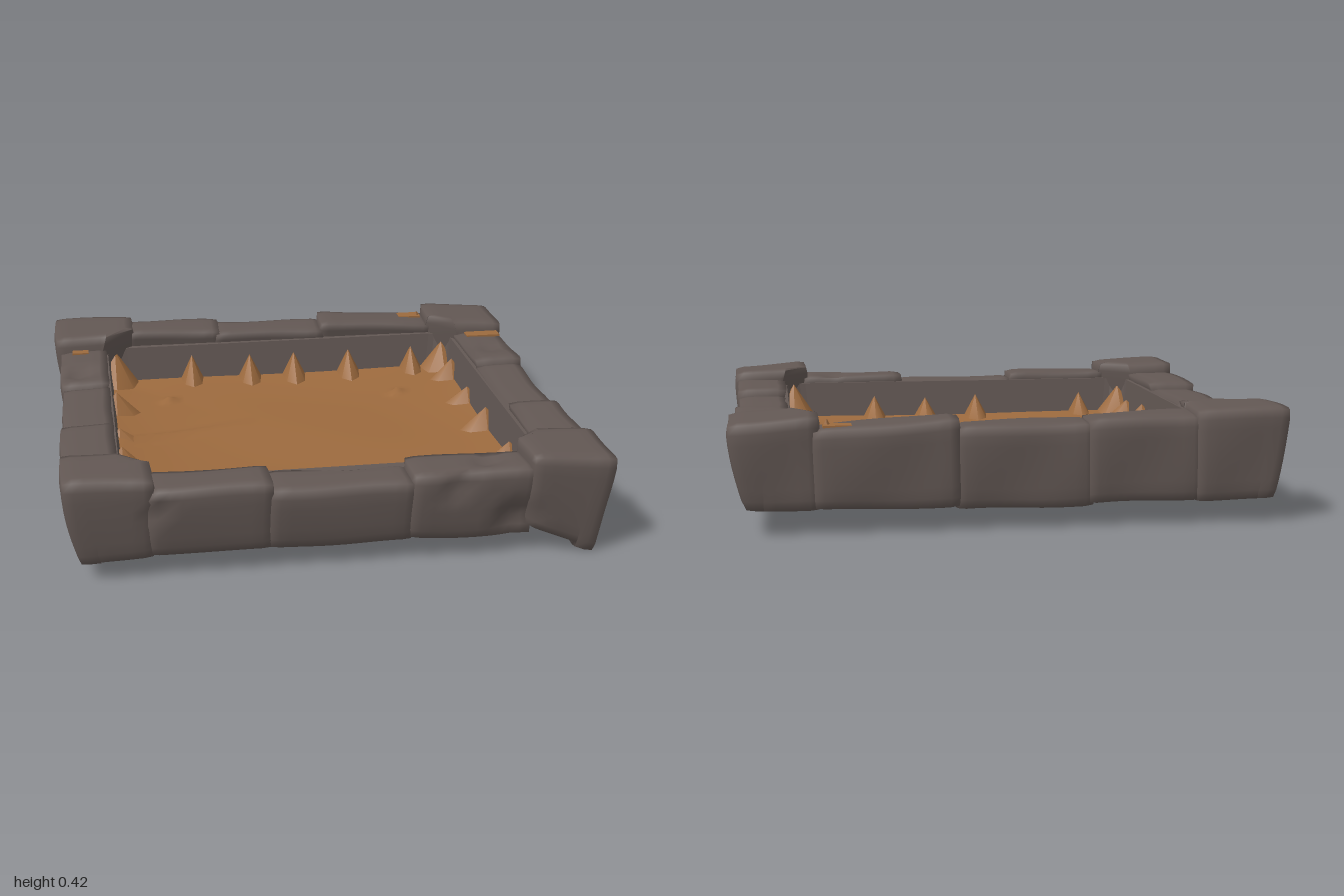
import * as THREE from 'three';
import { mergeVertices } from 'three/addons/utils/BufferGeometryUtils.js';

const INNER_X = 0.775, INNER_Z = 0.725;

// Dents knocked into the stones: x, y, z, radius, depth
const DENTS = [
  [0.64, 0.15, 0.9, 0.1, 0.045], [0.42, 0.3, 0.92, 0.07, 0.03], [-0.65, 0.27, 0.9, 0.05, 0.03],
  [-0.9, 0.36, -0.36, 0.09, 0.04], [0.55, 0.36, 0.8, 0.07, 0.03], [0.9, 0.36, -0.4, 0.08, 0.02],
];

// Worn stone: x0, x1, z0, z1, then top and bottom heights at both ends of its long axis
function stoneGeometry(x0, x1, z0, z1, t0, t1, b0, b1, alongZ) {
  const size = new THREE.Vector3(x1 - x0, (t0 + t1 - b0 - b1) / 2, z1 - z0);
  const n = (s) => Math.max(5, Math.round(s / 0.04));
  let geo = new THREE.BoxGeometry(size.x, size.y, size.z, n(size.x), n(size.y), n(size.z));
  geo.deleteAttribute('normal');
  geo.deleteAttribute('uv');
  geo = mergeVertices(geo);
  const pos = geo.attributes.position, r = 0.022;
  const lim = size.clone().multiplyScalar(0.5).subScalar(r);
  const low = lim.clone().negate();
  const p = new THREE.Vector3(), core = new THREE.Vector3(), c = new THREE.Vector3();
  for (let i = 0; i < pos.count; i++) {
    p.fromBufferAttribute(pos, i);
    core.copy(p).clamp(low, lim);
    const off = p.clone().sub(core);
    if (off.lengthSq() > 0) p.copy(core).addScaledVector(off.normalize(), r);
    // sloping top and bottom
    const u = p.x / size.x + 0.5, w = p.z / size.z + 0.5, k = p.y / size.y + 0.5;
    const a = alongZ ? w : u, v = 1 - k;
    p.set(x0 + u * size.x, (b0 + (b1 - b0) * a) * v + (t0 + (t1 - t0) * a) * k, z0 + w * size.z);
    // outer faces draw in towards the ground
    const draw = Math.pow(v, 1.5);
    if (Math.abs(p.x) > 0.9) p.x *= 1 - 0.055 * draw;
    if (Math.abs(p.z) > 0.83) p.z *= 1 - (p.z > 0 ? 0.05 : 0.025) * draw;
    // gentle unevenness
    p.x += 0.003 * Math.sin(p.z * 17 + p.y * 13);
    p.z += 0.003 * Math.sin(p.x * 15 + p.y * 11);
    p.y += 0.003 * Math.sin(p.x * 12 + p.z * 14);
    for (const [dx, dy, dz, dr, depth] of DENTS) {
      const d = p.distanceTo(c.set(dx, dy, dz));
      if (d < dr) {
        const m = depth * (1 - d / dr);
        if (Math.abs(dz) > 0.86) p.z -= Math.sign(dz) * m;
        else p.y -= m;
      }
    }
    // keep the inside of the frame clear, undercut towards the ground
    const fx = Math.abs(p.x) / INNER_X, fz = Math.abs(p.z) / INNER_Z, need = 1 + 0.12 * v;
    if (Math.max(fx, fz) < need) {
      if (fx > fz) p.x = Math.sign(p.x) * INNER_X * need;
      else p.z = Math.sign(p.z) * INNER_Z * need;
    }
    pos.setXYZ(i, p.x, Math.max(0, p.y), p.z);
  }
  geo.computeVertexNormals();
  return geo;
}

function roundedRect(target, hx, hz, r) {
  target.moveTo(-hx + r, -hz);
  target.lineTo(hx - r, -hz).quadraticCurveTo(hx, -hz, hx, -hz + r);
  target.lineTo(hx, hz - r).quadraticCurveTo(hx, hz, hx - r, hz);
  target.lineTo(-hx + r, hz).quadraticCurveTo(-hx, hz, -hx, hz - r);
  target.lineTo(-hx, -hz + r).quadraticCurveTo(-hx, -hz, -hx + r, -hz);
  return target;
}

// Hollow rounded rectangle between two heights, leaning outwards at the top
function liningGeometry(hx, hz, thick, y0, y1) {
  const shape = roundedRect(new THREE.Shape(), hx, hz, 0.09);
  shape.holes.push(roundedRect(new THREE.Path(), hx - thick, hz - thick, 0.08));
  const geo = new THREE.ExtrudeGeometry(shape, { depth: y1 - y0, bevelEnabled: false, curveSegments: 6 });
  geo.rotateX(-Math.PI / 2).translate(0, y0, 0);
  const pos = geo.attributes.position;
  for (let i = 0; i < pos.count; i++) {
    const s = 1 + 0.035 * (pos.getY(i) - y0) / (y1 - y0);
    pos.setXYZ(i, pos.getX(i) * s, pos.getY(i), pos.getZ(i) * s);
  }
  geo.computeVertexNormals();
  return geo;
}

// Pointed folds of sand against the walls: x, z, height above the bed
const PEAKS = [
  [-0.75, -0.33, 0.09], [-0.75, 0.27, 0.09], [-0.75, -0.02, 0.05], [-0.75, 0.55, 0.07],
  [-0.4, -0.7, 0.11], [-0.14, -0.7, 0.1], [0.06, -0.7, 0.1], [0.31, -0.7, 0.1], [0.6, -0.7, 0.1],
  [0.75, -0.53, 0.09], [0.75, 0.05, 0.08], [0.75, -0.25, 0.06], [0.75, 0.4, 0.07],
  [0.38, 0.7, 0.09], [0.15, 0.7, 0.08], [-0.08, 0.7, 0.09], [-0.56, 0.7, 0.09],
  [-0.74, -0.69, 0.15], [0.74, 0.69, 0.15], [0.74, -0.69, 0.12], [-0.74, 0.69, 0.12],
];
const PEBBLES = [[-0.52, -0.46], [0.48, -0.43], [0.48, 0.47], [-0.52, 0.48], [0.12, 0.64]];

function sandHeight(x, z) {
  const edge = Math.max(Math.abs(x) / 0.75, Math.abs(z) / 0.7);
  const y = 0.155 + 0.025 * Math.min(1.2, Math.pow(edge, 4)) + 0.006 * Math.sin(x * 5 + 1) * Math.cos(z * 6);
  let rise = 0;
  for (const [px, pz] of PEBBLES) {
    rise = Math.max(rise, 0.03 * (1 - Math.hypot(x - px, z - pz) / 0.04));
  }
  // long fold running in from one wall
  const t = THREE.MathUtils.clamp((x + 0.74) / 0.56, 0, 1);
  const fold = Math.abs(z - (-0.01 - 0.19 * t));
  if (x < -0.18) rise = Math.max(rise, 0.03 * (1 - t) * (1 - fold / 0.05));
  return y + rise;
}

export function createModel() {
  const model = new THREE.Group();
  const stone = new THREE.MeshStandardMaterial({ color: 0x635854 });
  stone.name = 'stone';
  const sand = new THREE.MeshStandardMaterial({ color: 0x9c6a3e, side: THREE.DoubleSide });
  sand.name = 'sand';
  const add = (name, geo, mat) => {
    const mesh = new THREE.Mesh(geo, mat);
    mesh.name = name;
    model.add(mesh);
  };

  // Corner stones
  add('backLeftCorner', stoneGeometry(0.68, 1, -0.915, -0.61, 0.42, 0.4, 0.08, 0.09), stone);
  add('backRightCorner', stoneGeometry(-1, -0.65, -0.93, -0.62, 0.42, 0.42, 0.08, 0.08), stone);
  add('frontLeftCorner', stoneGeometry(0.68, 1, 0.63, 0.93, 0.41, 0.39, 0.11, -0.015), stone);
  add('frontRightCorner', stoneGeometry(-0.985, -0.66, 0.63, 0.905, 0.41, 0.4, 0.06, 0.08), stone);

  // Stones along the front and back
  const rows = [
    [-0.69, -0.24, 0.72, 0.905, 0.36, 0.36, 0.085, 0.08], [-0.26, 0.27, 0.72, 0.905, 0.335, 0.33, 0.08, 0.075],
    [0.25, 0.71, 0.72, 0.915, 0.36, 0.36, 0.085, 0.07],
    [-0.68, -0.26, -0.92, -0.72, 0.4, 0.39, 0.085, 0.08], [-0.29, 0.21, -0.91, -0.72, 0.38, 0.37, 0.07, 0.07],
    [0.19, 0.71, -0.92, -0.72, 0.405, 0.37, 0.08, 0.085],
  ];
  rows.forEach((r, i) => add(i < 3 ? 'frontStone' : 'backStone', stoneGeometry(...r, false), stone));

  // Stones along the two sides
  const columns = [
    [-0.98, -0.77, -0.65, -0.21, 0.36, 0.36, 0.08, 0.075], [-0.975, -0.77, -0.23, 0.26, 0.34, 0.34, 0.065, 0.065],
    [-0.985, -0.77, 0.24, 0.66, 0.365, 0.365, 0.07, 0.07],
    [0.77, 0.985, -0.64, -0.22, 0.355, 0.37, 0.075, 0.065], [0.77, 0.975, -0.24, 0.28, 0.345, 0.335, 0.06, 0.04],
    [0.77, 0.985, 0.26, 0.66, 0.365, 0.36, 0.035, 0.02],
  ];
  columns.forEach((c, i) => add(i < 3 ? 'rightStone' : 'leftStone', stoneGeometry(...c, true), stone));

  // Inner lining
  add('lining', liningGeometry(0.785, 0.735, 0.04, 0.09, 0.33), stone);

  // Sand sheet, running through the lining into the undercut of the stones
  const bed = new THREE.PlaneGeometry(1.71, 1.61, 68, 64).rotateX(-Math.PI / 2);
  const bp = bed.attributes.position;
  for (let i = 0; i < bp.count; i++) bp.setY(i, sandHeight(bp.getX(i), bp.getZ(i)));
  bed.computeVertexNormals();
  add('sandBed', bed, sand);

  // Sand peaks, drawn out towards the middle
  for (const [x, z, h] of PEAKS) {
    const onX = Math.abs(x) > 0.73, onZ = Math.abs(z) > 0.68;
    const cone = new THREE.ConeGeometry(1, h + 0.03, 8, 1, true);
    cone.scale(onX ? 0.12 : 0.065, 1, onZ ? 0.12 : 0.065).translate(x, 0.165 + h / 2, z);
    cone.computeVertexNormals();
    add('sandPeak', cone, sand);
  }

  // Sand showing between the rim stones: x, y, z, width, depth
  const spills = [
    [0.62, 0.379, -0.85, 0.1, 0.06], [0.9, 0.361, -0.585, 0.15, 0.06], [-0.89, 0.362, -0.595, 0.07, 0.04],
  ];
  for (const [x, y, z, w, d] of spills) {
    add('spilledSand', new THREE.BoxGeometry(w, 0.009, d).translate(x, y, z), sand);
  }
  add('rimSandTip', new THREE.ConeGeometry(0.028, 0.05, 4).translate(0.655, 0.378, -0.84), sand);
  return model;
}
